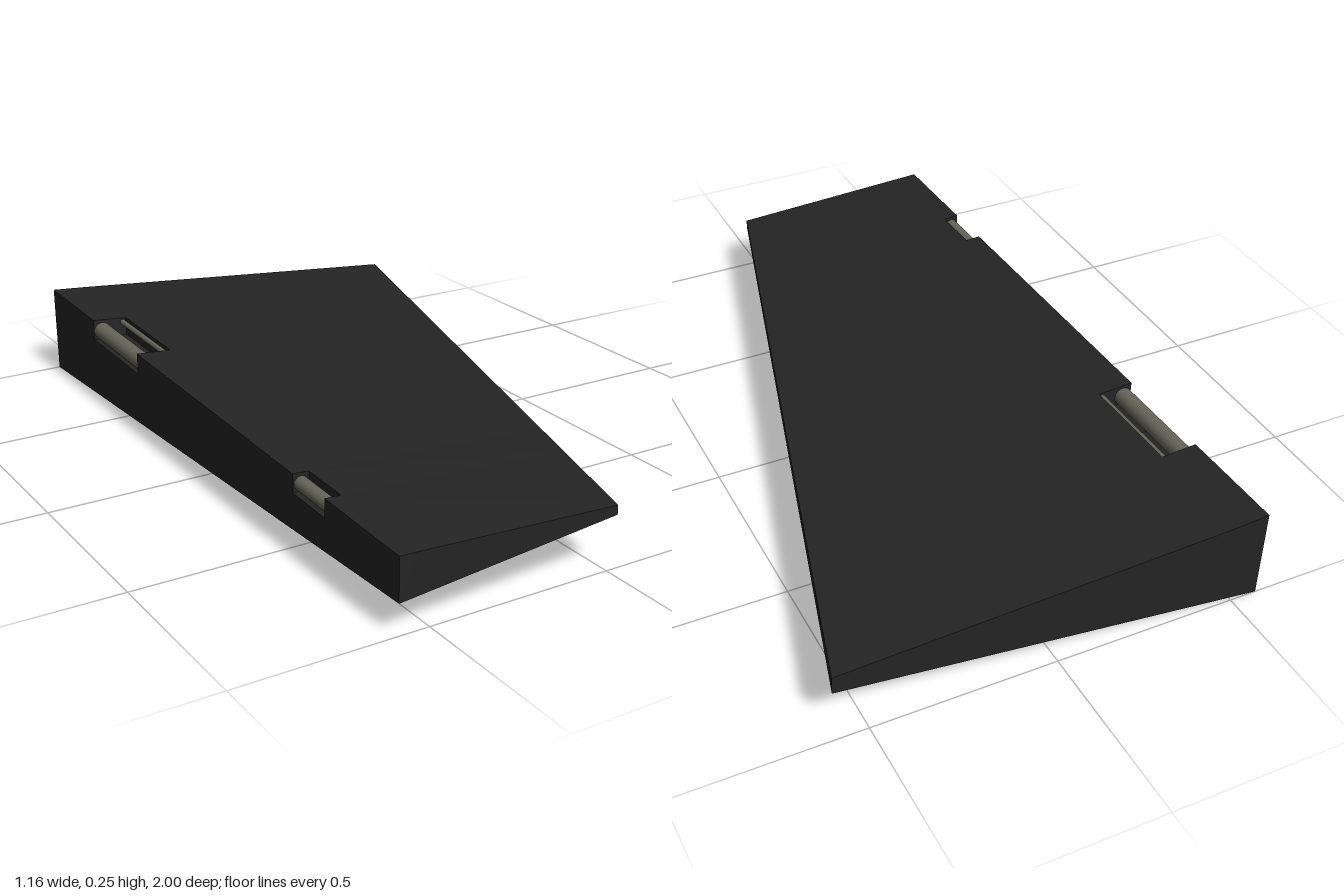
import * as THREE from 'three';

const lerp = THREE.MathUtils.lerp;
const along = z => (1 - z) / 2; // 0 at the front tip, 1 at the back root
const leftX = z => lerp(-0.58, -0.575, along(z));
const leftTop = z => lerp(0.2, 0.26, along(z));
const rightX = z => lerp(0.025, 0.577, Math.min(1, (1 - z) / 1.965));
const topY = (x, z) => lerp(leftTop(z), 0.17, (x - leftX(z)) / (rightX(z) - leftX(z)));

const notches = [
  { name: 'frontHinge', z0: 0.68, z1: 0.53, inner: -0.535, depth: 0.05, radius: 0.019 },
  { name: 'backHinge', z0: -0.37, z1: -0.68, inner: -0.475, depth: 0.06, radius: 0.025 },
];

// Cross-section of the wedge, with an optional step cut in its thick edge
function section(z, inner, depth) {
  const xl = leftX(z), xr = rightX(z), zr = Math.max(z, -0.965);
  const yi = topY(inner, z), floor = leftTop(z) - depth;
  return [
    [xl, lerp(0.085, 0.005, along(z)), z],
    [xr, lerp(0.145, 0.12, along(z)), zr],
    [xr, 0.17, zr],
    [inner, yi, z],
    [inner, depth ? floor : yi, z],
    [xl, floor, z],
  ].map(p => new THREE.Vector3(...p));
}

function bodyGeometry() {
  const loops = [section(1, -0.535, 0)];
  for (const n of notches) {
    for (const [z, d] of [[n.z0, 0], [n.z0, n.depth], [n.z1, n.depth], [n.z1, 0]]) {
      loops.push(section(z, n.inner, d));
    }
  }
  loops.push(section(-1, -0.475, 0));

  const points = [];
  const tri = (a, b, c) => {
    const area = b.clone().sub(a).cross(c.clone().sub(a)).length();
    if (area > 1e-7) points.push(a, b, c);
  };
  for (let s = 0; s < loops.length - 1; s++) {
    const f = loops[s], b = loops[s + 1];
    for (let i = 0; i < 6; i++) {
      const j = (i + 1) % 6;
      tri(f[i], b[j], f[j]);
      tri(f[i], b[i], b[j]);
    }
  }
  // End caps
  const first = loops[0], last = loops[loops.length - 1];
  for (let i = 1; i < 5; i++) {
    tri(first[0], first[i], first[i + 1]);
    tri(last[0], last[i + 1], last[i]);
  }
  const geometry = new THREE.BufferGeometry().setFromPoints(points);
  geometry.computeVertexNormals();
  return geometry;
}

// Round pin following the slope of the thick edge
function pin(name, n, x, drop, radius, material) {
  const a = new THREE.Vector3(x, leftTop(n.z0) - drop, n.z0);
  const b = new THREE.Vector3(x, leftTop(n.z1) - drop, n.z1);
  const dir = b.clone().sub(a);
  const mesh = new THREE.Mesh(new THREE.CylinderGeometry(radius, radius, dir.length(), 24), material);
  mesh.name = name;
  mesh.position.copy(a).add(b).multiplyScalar(0.5);
  mesh.quaternion.setFromUnitVectors(new THREE.Vector3(0, 1, 0), dir.normalize());
  return mesh;
}

export function createModel() {
  const black = new THREE.MeshStandardMaterial({ color: 0x242424 });
  black.name = 'black';
  const metal = new THREE.MeshStandardMaterial({ color: 0x66665a });
  metal.name = 'grey metal';

  const model = new THREE.Group();
  model.name = 'taperedPanel';
  const body = new THREE.Mesh(bodyGeometry(), black);
  body.name = 'panelBody';
  model.add(body);

  for (const n of notches) {
    const hinge = new THREE.Group();
    hinge.name = n.name;
    hinge.add(pin('hingePin', n, -0.576 + n.radius, n.radius + 0.01, n.radius, metal));
    if (n.name === 'backHinge') hinge.add(pin('hingeRail', n, -0.485, 0.02, 0.008, metal));
    model.add(hinge);
  }
  return model;
}
